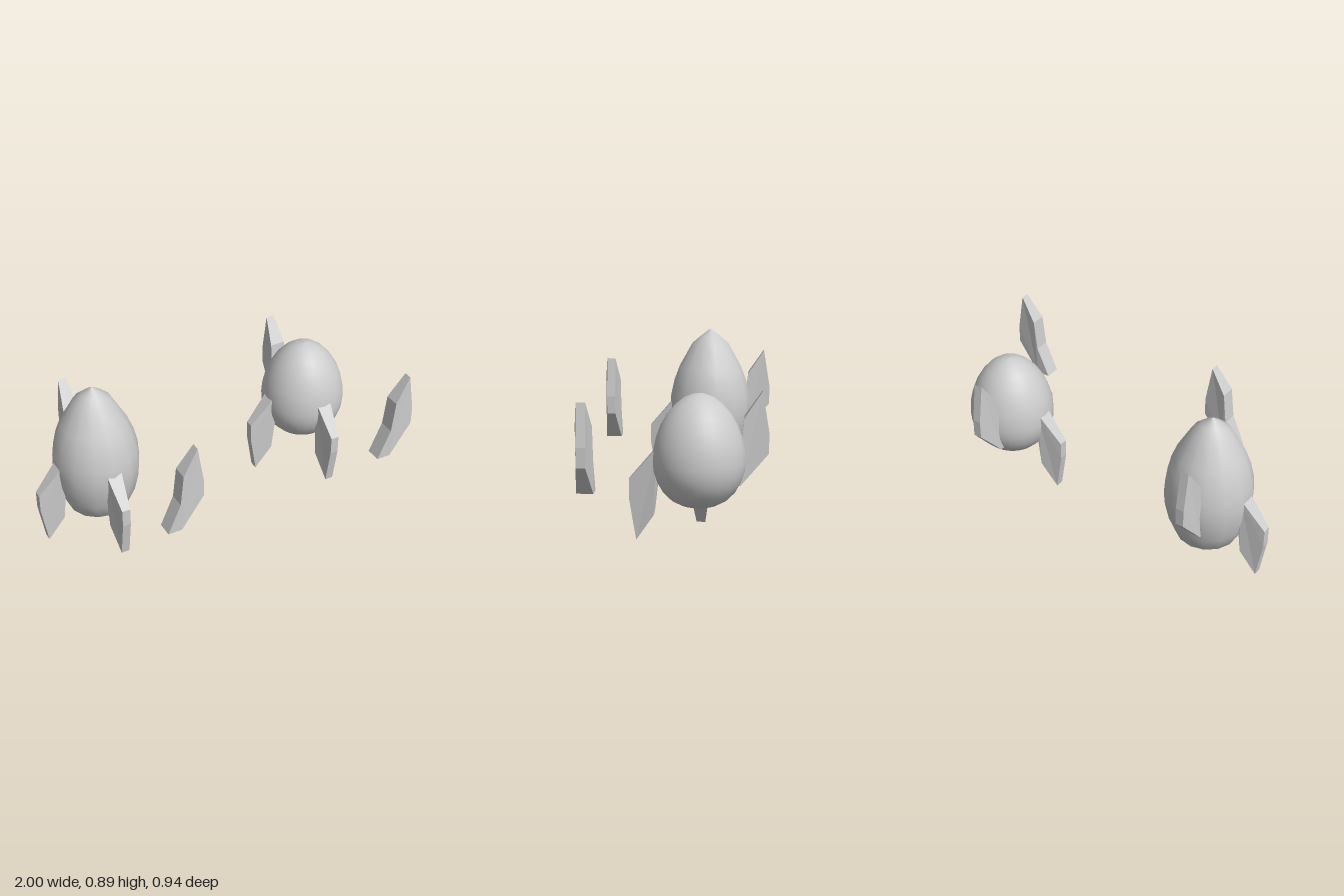
import * as THREE from 'three';

const material = new THREE.MeshStandardMaterial({ color: 0xcccccc });
const finMaterial = new THREE.MeshStandardMaterial({ color: 0xcccccc, flatShading: true });

// Egg-shaped hull: smooth lathe through [radius, height] points
function hull(profile, segments) {
  const points = profile.map(([r, y]) => new THREE.Vector2(r, y));
  return new THREE.LatheGeometry(points, segments);
}

// Swept fin: thick root and an outer blade that thins towards the tip (x points outward)
function finGeometry() {
  const shape = (pts) => new THREE.Shape(pts.map(([x, y]) => new THREE.Vector2(x, y)));
  const root = shape([[-0.09, -0.238], [-0.01, -0.238], [0.004, 0.105], [-0.016, -0.07]]);
  const blade = shape([[-0.01, -0.238], [0.13, -0.075], [0.13, 0.025], [0.095, 0.24], [0.004, 0.105]]);
  const geometry = new THREE.ExtrudeGeometry([root, blade], { depth: 1, bevelEnabled: false });
  const position = geometry.attributes.position;
  for (let i = 0; i < position.count; i++) {
    const taper = THREE.MathUtils.clamp(position.getX(i) / 0.095, 0, 1);
    const thickness = THREE.MathUtils.lerp(0.086, 0.046, taper);
    position.setZ(i, (position.getZ(i) - 0.5) * thickness);
  }
  geometry.computeVertexNormals();
  return geometry;
}

// Tall, coarser hull with a pointed nose
const tallHull = hull([
  [0, 0.087], [0.06, 0.093], [0.115, 0.111], [0.167, 0.15], [0.207, 0.24],
  [0.23, 0.34], [0.237, 0.42], [0.232, 0.5], [0.212, 0.59], [0.18, 0.675],
  [0.105, 0.81], [0.055, 0.853], [0, 0.895],
], 14);

// Short, finely rounded hull
const shortHull = hull([
  [0, 0.172], [0.05, 0.176], [0.1, 0.19], [0.145, 0.215], [0.185, 0.256], [0.214, 0.308],
  [0.23, 0.36], [0.234, 0.41], [0.23, 0.47], [0.217, 0.53], [0.193, 0.594], [0.16, 0.651],
  [0.12, 0.698], [0.075, 0.733], [0.035, 0.749], [0, 0.756],
], 32);

// Fin placement relative to the rocket axis: lower fins are flipped upside down
const fins = [
  { name: 'sideFin', x: -0.22, y: 0.24, z: -0.117, turn: Math.PI, flip: true },
  { name: 'frontFin', x: 0.006, y: 0.24, z: 0.1, turn: -Math.PI / 2, flip: true },
  { name: 'backFin', x: -0.036, y: 0.523, z: -0.342, turn: Math.PI / 2, flip: false },
  { name: 'detachedFin', x: 0.22, y: 0.523, z: 0.429, turn: 0, flip: false },
];

function rocket(name, hullGeometry, finShape) {
  const group = new THREE.Group();
  group.name = name;
  const body = new THREE.Mesh(hullGeometry, material);
  body.name = 'hull';
  body.position.z = -0.122;
  group.add(body);
  for (const { name: finName, x, y, z, turn, flip } of fins) {
    const fin = new THREE.Mesh(finShape, finMaterial);
    fin.name = finName;
    fin.position.set(x, y, z);
    fin.rotation.set(flip ? Math.PI : 0, turn, 0, 'YXZ');
    group.add(fin);
  }
  return group;
}

export function createModel() {
  const model = new THREE.Group();
  model.name = 'rocketPair';
  const finShape = finGeometry();
  const tall = rocket('tallRocket', tallHull, finShape);
  tall.position.x = -0.65;
  const short = rocket('shortRocket', shortHull, finShape);
  short.position.x = 0.65;
  model.add(tall, short);
  return model;
}
